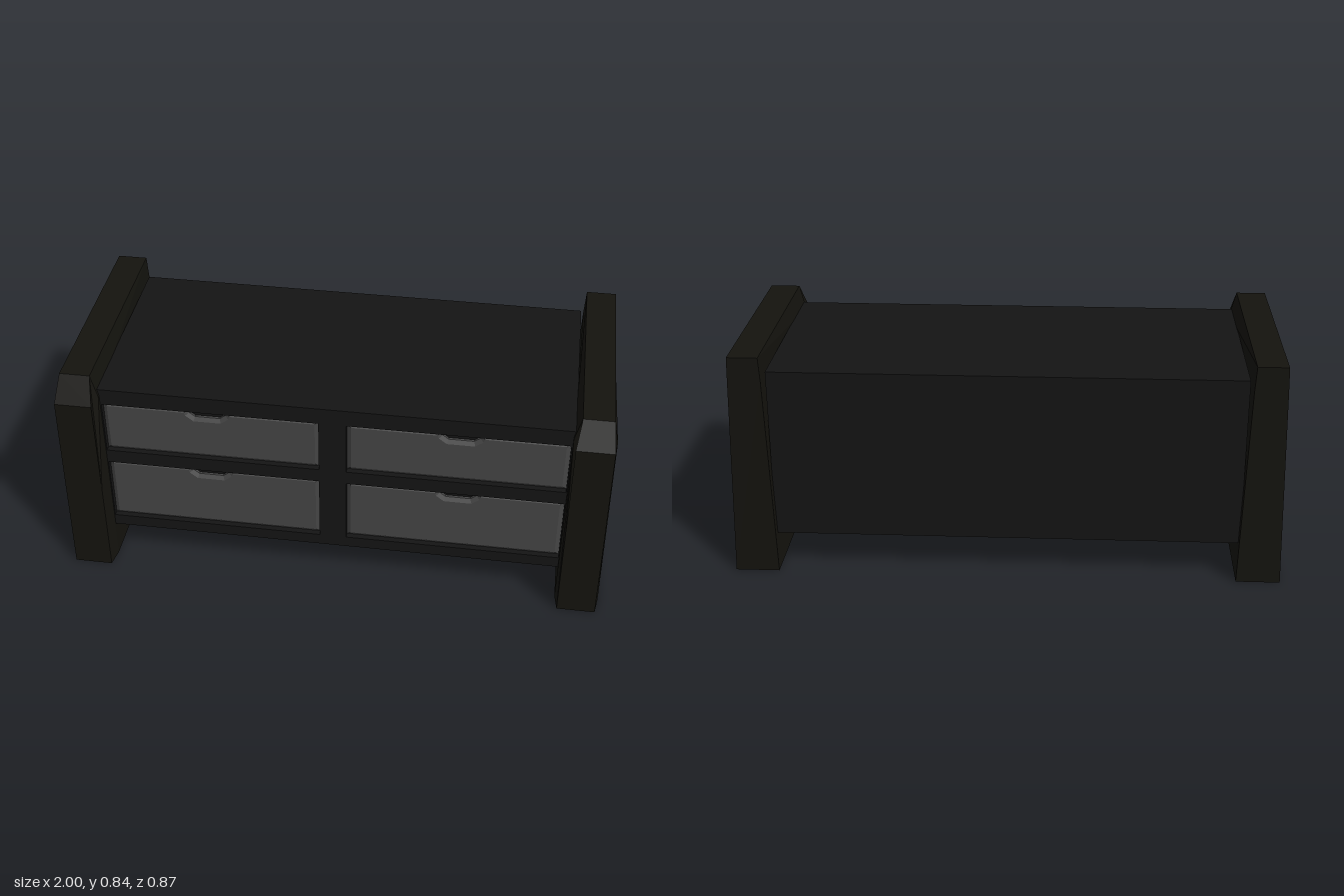
import * as THREE from 'three';

const panelMat = new THREE.MeshStandardMaterial({ color: 0x14130e });
const bodyMat = new THREE.MeshStandardMaterial({ color: 0x141414 });
const drawerMat = new THREE.MeshStandardMaterial({ color: 0x454545 });

function addMesh(parent, name, geometry, material) {
  const mesh = new THREE.Mesh(geometry, material);
  mesh.name = name;
  parent.add(mesh);
  return mesh;
}

function rectPoints(x0, y0, x1, y1) {
  return [[x0, y0], [x1, y0], [x1, y1], [x0, y1]].map(([x, y]) => new THREE.Vector2(x, y));
}

// Tapered side slab lofted from back to front; side is +1 or -1
function sidePanelGeometry(side) {
  // each section: z, then rows of [y, inner x, outer x] from bottom to top
  const sections = [
    [-0.435, [[0, 0.84, 1], [0.75, 0.86, 0.978], [0.84, 0.865, 0.975]]],
    [0.37, [[0, 0.84, 1], [0.75, 0.842, 0.992], [0.84, 0.865, 0.975]]],
    [0.435, [[0, 0.85, 0.99], [0.37, 0.85, 0.988], [0.75, 0.85, 0.985]]],
  ];
  const loops = sections.map(([z, rows]) => [
    ...rows.map(([y, , outer]) => [side * outer, y, z]),
    ...[...rows].reverse().map(([y, inner]) => [side * inner, y, z]),
  ]);
  const pos = [];
  const tri = (a, b, c) => pos.push(...(side > 0 ? [a, b, c] : [a, c, b]).flat());
  const n = loops[0].length;
  for (let s = 0; s < loops.length - 1; s++) {
    for (let i = 0; i < n; i++) {
      const j = (i + 1) % n;
      tri(loops[s][i], loops[s][j], loops[s + 1][j]);
      tri(loops[s][i], loops[s + 1][j], loops[s + 1][i]);
    }
  }
  // end caps
  const [back, front] = [loops[0], loops[loops.length - 1]];
  for (let i = 1; i < n - 1; i++) {
    tri(back[0], back[i + 1], back[i]);
    tri(front[0], front[i], front[i + 1]);
  }
  const geometry = new THREE.BufferGeometry();
  geometry.setAttribute('position', new THREE.Float32BufferAttribute(pos, 3));
  geometry.computeVertexNormals();
  return geometry;
}

// Bevelled drawer front with a finger notch in its top edge
function drawerGeometry(x0, y0, x1, y1) {
  const cx = (x0 + x1) / 2 + Math.sign(x0 + x1) * 0.012;
  const shape = new THREE.Shape([
    [x0, y0], [x1, y0], [x1, y1],
    [cx + 0.072, y1], [cx + 0.066, y1 - 0.018], [cx + 0.045, y1 - 0.034],
    [cx - 0.045, y1 - 0.034], [cx - 0.066, y1 - 0.018], [cx - 0.072, y1],
    [x0, y1],
  ].map(([x, y]) => new THREE.Vector2(x, y)));
  return new THREE.ExtrudeGeometry(shape, {
    depth: 0.01, bevelThickness: 0.01, bevelSize: 0.015, bevelOffset: -0.015, bevelSegments: 1,
  });
}

export function createModel() {
  const group = new THREE.Group();
  group.name = 'drawerCabinet';

  // Cabinet body behind the front frame
  const body = addMesh(group, 'cabinetBody', new THREE.BoxGeometry(1.7, 0.635, 0.72), bodyMat);
  body.position.set(0, 0.4575, -0.04);

  // Four drawer openings, mirrored left and right
  const openings = [];
  for (const [y0, y1] of [[0.185, 0.445], [0.5, 0.71]]) {
    openings.push([-0.838, y0, -0.05, y1], [0.05, y0, 0.838, y1]);
  }

  // Front frame with the openings cut out
  const frame = new THREE.Shape(rectPoints(-0.85, 0.14, 0.85, 0.775));
  for (const o of openings) frame.holes.push(new THREE.Path(rectPoints(...o)));
  const frameGeometry = new THREE.ExtrudeGeometry(frame, { depth: 0.04, bevelEnabled: false });
  addMesh(group, 'frontFrame', frameGeometry, bodyMat).position.z = 0.32;

  // Drawer fronts
  for (const o of openings) {
    const name = (o[1] > 0.4 ? 'upper' : 'lower') + (o[0] > 0 ? 'Left' : 'Right') + 'Drawer';
    addMesh(group, name, drawerGeometry(...o), drawerMat).position.z = 0.328;
  }

  // Side panels
  for (const side of [1, -1]) {
    addMesh(group, side > 0 ? 'leftSidePanel' : 'rightSidePanel', sidePanelGeometry(side), panelMat);
  }
  return group;
}
